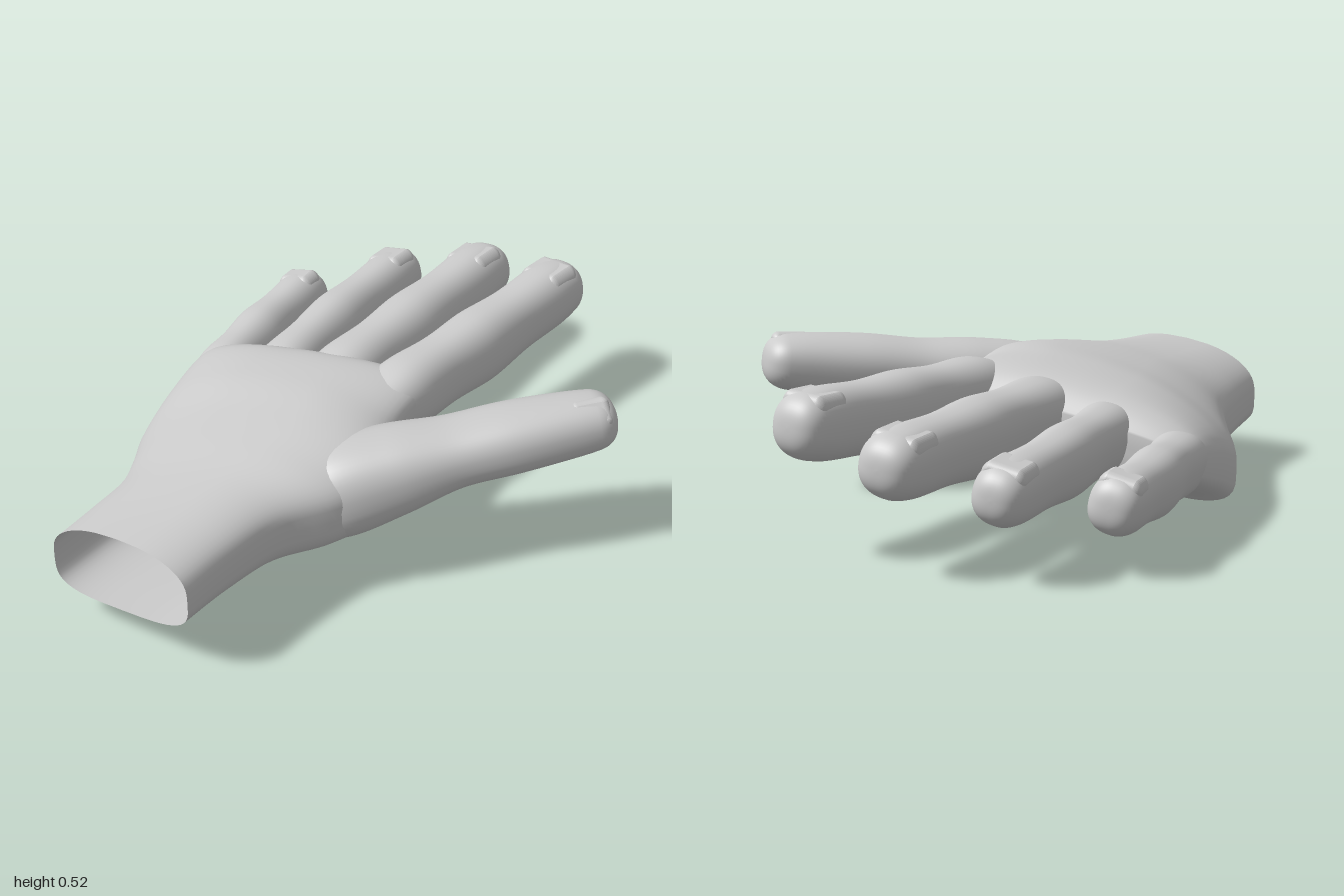
import * as THREE from 'three';
import { RoundedBoxGeometry } from 'three/addons/geometries/RoundedBoxGeometry.js';

const skin = new THREE.MeshStandardMaterial({ color: 0xcccccc, side: THREE.DoubleSide });
const RING = 48;

// Catmull-Rom interpolation of a list of rows, t from 0 to 1
function sampleRows(rows, t) {
  const f = t * (rows.length - 1);
  const i = Math.min(Math.floor(f), rows.length - 2);
  const s = f - i;
  const row = k => rows[Math.max(0, Math.min(rows.length - 1, k))];
  return rows[i].map((b, c) => {
    const a = row(i - 1)[c], d = row(i + 1)[c], e = row(i + 2)[c];
    return b + 0.5 * s * (d - a + s * (2 * a - 5 * b + 4 * d - e + s * (3 * (b - d) + e - a)));
  });
}

// Point on a unit superellipse
function roundedRing(j, power) {
  const a = (j / RING) * Math.PI * 2;
  const soft = v => Math.sign(v) * Math.pow(Math.abs(v), power);
  return [soft(Math.cos(a)), soft(Math.sin(a))];
}

// Skin a list of rings and close the last one
function loft(rings) {
  const points = rings.flat();
  const index = [];
  for (let i = 0; i < rings.length - 1; i++) {
    for (let j = 0; j < RING; j++) {
      const a = i * RING + j, b = i * RING + (j + 1) % RING;
      index.push(a, a + RING, b, b, a + RING, b + RING);
    }
  }
  const last = points.length - RING, tip = points.length;
  const centre = new THREE.Vector3();
  for (const p of rings[rings.length - 1]) centre.addScaledVector(p, 1 / RING);
  for (let j = 0; j < RING; j++) index.push(last + j, tip, last + (j + 1) % RING);
  const geo = new THREE.BufferGeometry().setFromPoints([...points, centre]);
  geo.setIndex(index);
  geo.computeVertexNormals();
  return geo;
}

function addMesh(parent, name, geometry) {
  const mesh = new THREE.Mesh(geometry, skin);
  mesh.name = name;
  parent.add(mesh);
  return mesh;
}

// Palm sections from wrist to knuckles: z, x range, mid height at each edge, half height, crown
const palmRows = [
  [0.975, -0.54, -0.03, 0.215, 0.285, 0.115, 0.035],
  [0.8, -0.54, -0.005, 0.2, 0.29, 0.122, 0.04],
  [0.62, -0.55, 0.045, 0.18, 0.295, 0.13, 0.055],
  [0.46, -0.615, 0.16, 0.15, 0.3, 0.14, 0.08],
  [0.3, -0.695, 0.215, 0.115, 0.315, 0.15, 0.09],
  [0.12, -0.715, 0.135, 0.165, 0.345, 0.138, 0.06],
  [-0.07, -0.72, 0.125, 0.21, 0.37, 0.113, 0.025],
  [-0.165, -0.69, 0.1, 0.22, 0.37, 0.055, 0],
];

function palmGeometry() {
  const rings = [];
  for (let i = 0; i <= 56; i++) {
    const t = i / 56;
    const [z, xl, xr, ml, mr, half, crown] = sampleRows(palmRows, t);
    // The wrist is cut at a slight angle
    const skew = 0.025 * Math.max(0, 1 - 4 * t);
    const ring = [];
    for (let j = 0; j < RING; j++) {
      const [u, v] = roundedRing(j, 0.58);
      const k = (u + 1) / 2;
      const y = ml + (mr - ml) * k + v * half + Math.max(v, 0) * crown * (1 - u * u);
      ring.push(new THREE.Vector3(xl + (xr - xl) * k, y, z + skew * u));
    }
    rings.push(ring);
  }
  return loft(rings);
}

// Relative width and height from root to tip, swelling at the joints
const fingerProfile = [[1, 0.8], [1.12, 1.04], [1, 1.03], [1.07, 1.1], [0.96, 0.98], [1, 0.96], [0.9, 0.75]];
const thumbProfile = [[1.05, 1.1], [1.4, 1.5], [1.36, 1.35], [1.19, 1.04], [1.17, 1.03], [1.02, 0.95], [0.86, 0.8]];

// Local axes and half sizes of a finger at t
function fingerFrame({ path, size, profile }, t, roll) {
  const at = s => new THREE.Vector3(...sampleRows(path, Math.max(0, Math.min(1, s))));
  const [w, h] = sampleRows(profile, t);
  const forward = at(t + 0.03).sub(at(t - 0.03)).normalize();
  const side = forward.clone().cross(new THREE.Vector3(0, 1, 0)).normalize().applyAxisAngle(forward, -roll);
  const up = side.clone().cross(forward);
  return { centre: at(t), side, up, forward, hw: w * size[0], hh: h * size[1] };
}

function fingerGeometry(finger) {
  const rings = [];
  const body = 44, cap = 12, tipStart = 0.9;
  for (let i = 0; i <= body + cap; i++) {
    // Rings crowd towards the blunt rounded tip
    const a = Math.max(0, (i - body) / cap) * Math.PI / 2;
    const t = i <= body ? (i / body) * tipStart : tipStart + (1 - tipStart) * Math.sin(a);
    const shrink = Math.max(0.02, Math.pow(Math.max(0, Math.cos(a)), 0.8));
    const f = fingerFrame(finger, t, finger.roll);
    const ring = [];
    for (let j = 0; j < RING; j++) {
      const [u, v] = roundedRing(j, 0.86);
      ring.push(f.centre.clone()
        .addScaledVector(f.side, u * f.hw * shrink)
        .addScaledVector(f.up, v * f.hh * shrink));
    }
    rings.push(ring);
  }
  return loft(rings);
}

// Curved nail plate set almost flush in the fingertip
function addNail(parent, finger) {
  const [width, length, t, roll] = finger.nail;
  const geo = new RoundedBoxGeometry(width, 0.05, length, 6, 0.024);
  const p = geo.attributes.position;
  for (let i = 0; i < p.count; i++) p.setY(i, p.getY(i) - 4.5 * p.getX(i) ** 2);
  geo.computeVertexNormals();
  const nail = addMesh(parent, finger.name + 'Nail', geo);
  const f = fingerFrame(finger, t, roll);
  nail.position.copy(f.centre).addScaledVector(f.up, f.hh - 0.017);
  nail.quaternion.setFromRotationMatrix(new THREE.Matrix4().makeBasis(f.side, f.up, f.forward.clone().negate()));
  nail.rotateX(-0.06);
}

// Path through root, middle and tip; half width and height; nail width, length, place and roll
const fingers = [
  { name: 'littleFinger', path: [[-0.625, 0.215, 0], [-0.652, 0.21, -0.34], [-0.662, 0.215, -0.7]],
    size: [0.079, 0.096], roll: 0.25, nail: [0.13, 0.09, 0.86, 0.25], profile: fingerProfile },
  { name: 'ringFinger', path: [[-0.41, 0.283, 0], [-0.421, 0.272, -0.45], [-0.41, 0.262, -0.92]],
    size: [0.083, 0.1], roll: 0.22, nail: [0.135, 0.12, 0.86, 0.22], profile: fingerProfile },
  { name: 'middleFinger', path: [[-0.205, 0.335, 0], [-0.158, 0.328, -0.49], [-0.112, 0.332, -1]],
    size: [0.095, 0.107], roll: 0.18, nail: [0.16, 0.13, 0.845, 0.18], profile: fingerProfile },
  { name: 'indexFinger', path: [[0.015, 0.37, 0.02], [0.112, 0.374, -0.44], [0.21, 0.405, -0.92]],
    size: [0.094, 0.11], roll: 0.08, nail: [0.155, 0.125, 0.855, 0.08], profile: fingerProfile },
  { name: 'thumb', path: [[-0.03, 0.275, 0.44], [0.325, 0.385, 0.115], [0.7, 0.445, -0.225]],
    size: [0.105, 0.097], roll: 0.1, nail: [0.105, 0.125, 0.88, -0.7], profile: thumbProfile },
];

export function createModel() {
  const hand = new THREE.Group();
  hand.name = 'hand';
  addMesh(hand, 'palmAndWrist', palmGeometry());

  for (const finger of fingers) {
    const group = new THREE.Group();
    group.name = finger.name;
    hand.add(group);
    addMesh(group, finger.name + 'Flesh', fingerGeometry(finger));
    addNail(group, finger);
  }
  return hand;
}
